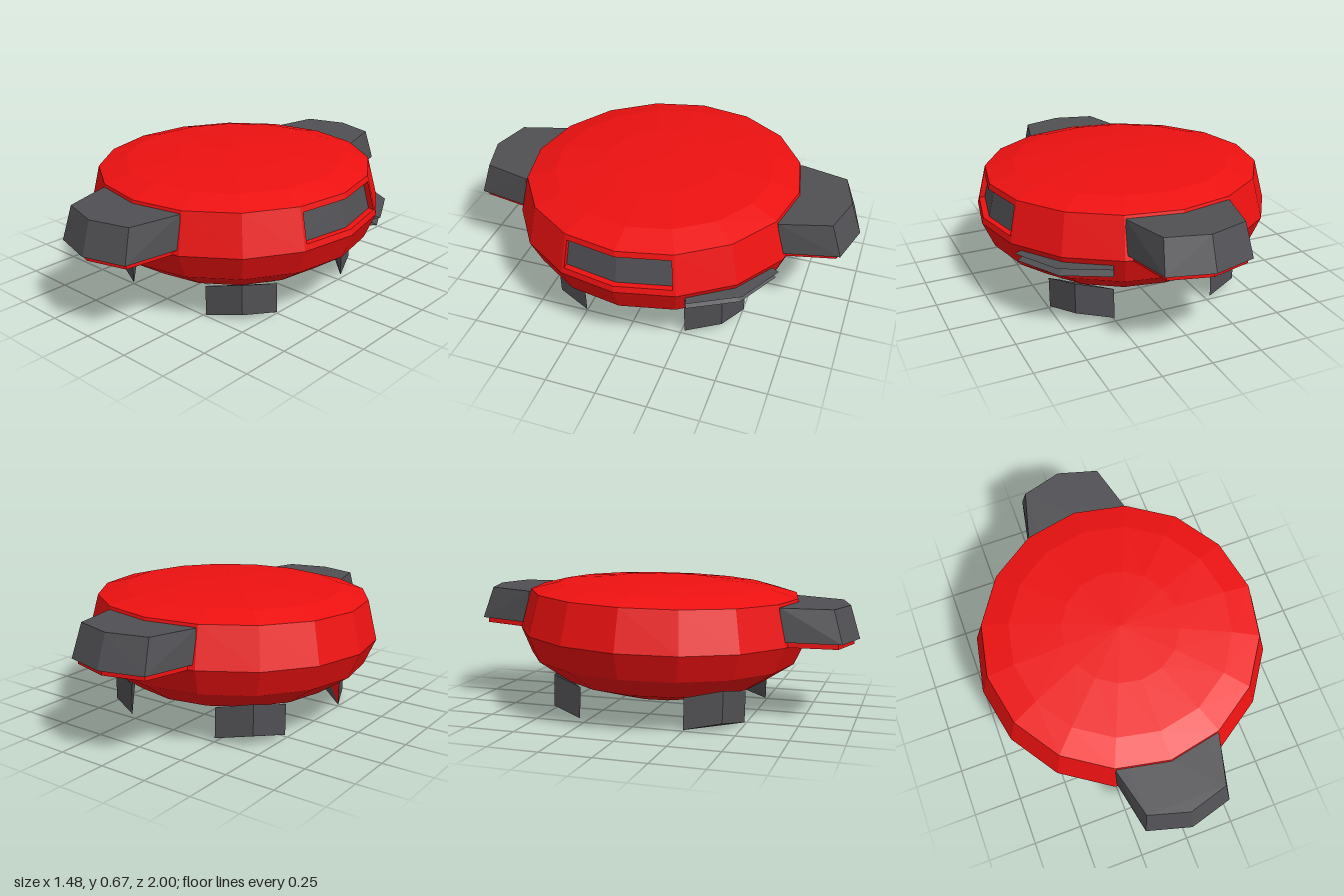
import * as THREE from 'three';
import { ConvexGeometry } from 'three/addons/geometries/ConvexGeometry.js';

const RED = 0xee1111, GREY = 0x505054;
const V = (x, y, z) => new THREE.Vector3(x, y, z);
const paint = (color) =>
  new THREE.MeshStandardMaterial({ color, flatShading: true, side: THREE.DoubleSide });

// Flat faces, each a list of corners turned into a triangle fan
function facets(faces) {
  const pos = [];
  for (const f of faces)
    for (let i = 1; i < f.length - 1; i++)
      for (const p of [f[0], f[i], f[i + 1]]) pos.push(p.x, p.y, p.z);
  const g = new THREE.BufferGeometry();
  g.setAttribute('position', new THREE.Float32BufferAttribute(pos, 3));
  g.computeVertexNormals();
  return g;
}

export function createModel() {
  const model = new THREE.Group();
  model.name = 'saucer';
  const craft = new THREE.Group();
  craft.name = 'tiltedCraft';
  model.add(craft);
  const add = (name, geometry, color, parent = craft) => {
    const m = new THREE.Mesh(geometry, paint(color));
    m.name = name;
    parent.add(m);
    return m;
  };
  const lathe = (pts, seg, start, len) =>
    new THREE.LatheGeometry(pts.map(([r, y]) => new THREE.Vector2(r, y)), seg, start, len);

  // Lower hull: half a squashed sphere
  const bowl = [];
  for (let i = 0; i <= 4; i++) {
    const a = (i * Math.PI) / 8;
    bowl.push([0.74 * Math.sin(a), 0.4 - 0.34 * Math.cos(a)]);
  }
  add('lowerHull', lathe(bowl, 16), RED);
  add('roof', lathe([[0.69, 0.6], [0.55, 0.637], [0.29, 0.66], [0, 0.67]], 16), RED);

  // Side wall, leaving two facets free for the window at +x
  add('sideWall', lathe([[0.74, 0.4], [0.69, 0.6]], 14, Math.PI * 0.625, Math.PI * 1.75), RED);

  // Window: framed opening with a recessed pane
  const wall = (s, y, inset = 0) => {
    const r = 0.74 - 0.25 * (y - 0.4), a = Math.PI / 8;
    return V(r * (1 - Math.abs(s) * (1 - Math.cos(a))) - inset, y, r * s * Math.sin(a));
  };
  const S = [-1, -0.95, 0, 0.95, 1], Y = [0.4, 0.43, 0.572, 0.6], frame = [], pane = [];
  const depth = 0.03;
  for (let i = 0; i < 4; i++)
    for (let j = 0; j < 3; j++) {
      const open = j === 1 && (i === 1 || i === 2), d = open ? depth : 0;
      const cell = [[i + 1, j], [i, j], [i, j + 1], [i + 1, j + 1]];
      (open ? pane : frame).push(cell.map(([a, b]) => wall(S[a], Y[b], d)));
    }
  const rim = [[1, 1], [2, 1], [3, 1], [3, 2], [2, 2], [1, 2]];
  rim.forEach(([a, b], i) => {
    const [c, d] = rim[(i + 1) % 6];
    frame.push([wall(S[a], Y[b]), wall(S[c], Y[d]), wall(S[c], Y[d], depth), wall(S[a], Y[b], depth)]);
  });
  add('windowFrame', facets(frame), RED);
  add('windowPane', facets(pane), GREY);

  // Front and rear bumpers: bevelled shell over a thin plate
  const outline = (y, root, tip, zSide, zTip) => [
    V(-0.2, y, 0.5), V(0.2, y, 0.5), V(root, y, 0.65), V(-root, y, 0.65),
    V(tip, y, zSide), V(-tip, y, zSide), V(0, y, zTip)];
  for (const [name, turn] of [['frontBumper', 0], ['rearBumper', Math.PI]]) {
    const g = new THREE.Group();
    g.name = name;
    g.rotation.y = turn;
    craft.add(g);
    add('bumperShell', new ConvexGeometry([
      ...outline(0.424, 0.275, 0.217, 0.94, 1), ...outline(0.585, 0.262, 0.2, 0.89, 0.947)]), GREY, g);
    add('bumperPlate', new ConvexGeometry([
      ...outline(0.397, 0.255, 0.2, 0.92, 0.975), ...outline(0.43, 0.255, 0.2, 0.92, 0.975)]), RED, g);
  }

  // Four wedge feet on the diagonals
  const A = V(0.5, 0.17, 0.26), B = V(0.43, 0.203, 0.43), C = V(0.26, 0.17, 0.5);
  const a = V(0.5, 0.015, 0.26), b = V(0.43, 0.045, 0.43), c = V(0.26, 0.015, 0.5);
  const D = V(0.36, 0.155, 0.36);
  const footBody = facets([[b, a, A, B], [c, b, B, C], [a, b, c], [a, c, D], [A, a, D]]);
  const footCheek = facets([[c, C, D]]);
  ['frontLeftFoot', 'rearLeftFoot', 'rearRightFoot', 'frontRightFoot'].forEach((name, i) => {
    const g = new THREE.Group();
    g.name = name;
    g.rotation.y = (i * Math.PI) / 2;
    craft.add(g);
    add('footBody', footBody, GREY, g);
    add('footCheek', footCheek, i === 3 ? RED : GREY, g);
  });

  // Slotted vent on the rear left of the hull
  const ring = [[25.8, 0.756], [45, 0.79], [63.5, 0.757]].map(([deg, R]) => {
    const t = THREE.MathUtils.degToRad(deg);
    return [[0.69, 0.374], [R, 0.366], [R - 0.06, 0.345], [R - 0.015, 0.325], [0.67, 0.312]]
      .map(([r, y]) => V(r * Math.cos(t), y, -r * Math.sin(t)));
  });
  const vent = [];
  for (let i = 0; i < 2; i++)
    for (let j = 0; j < 4; j++)
      vent.push([ring[i][j], ring[i][j + 1], ring[i + 1][j + 1], ring[i + 1][j]]);
  add('vent', facets(vent), GREY);

  // Slight nose-down lean
  craft.rotation.x = 0.025;
  craft.position.z = -0.01;
  return model;
}
